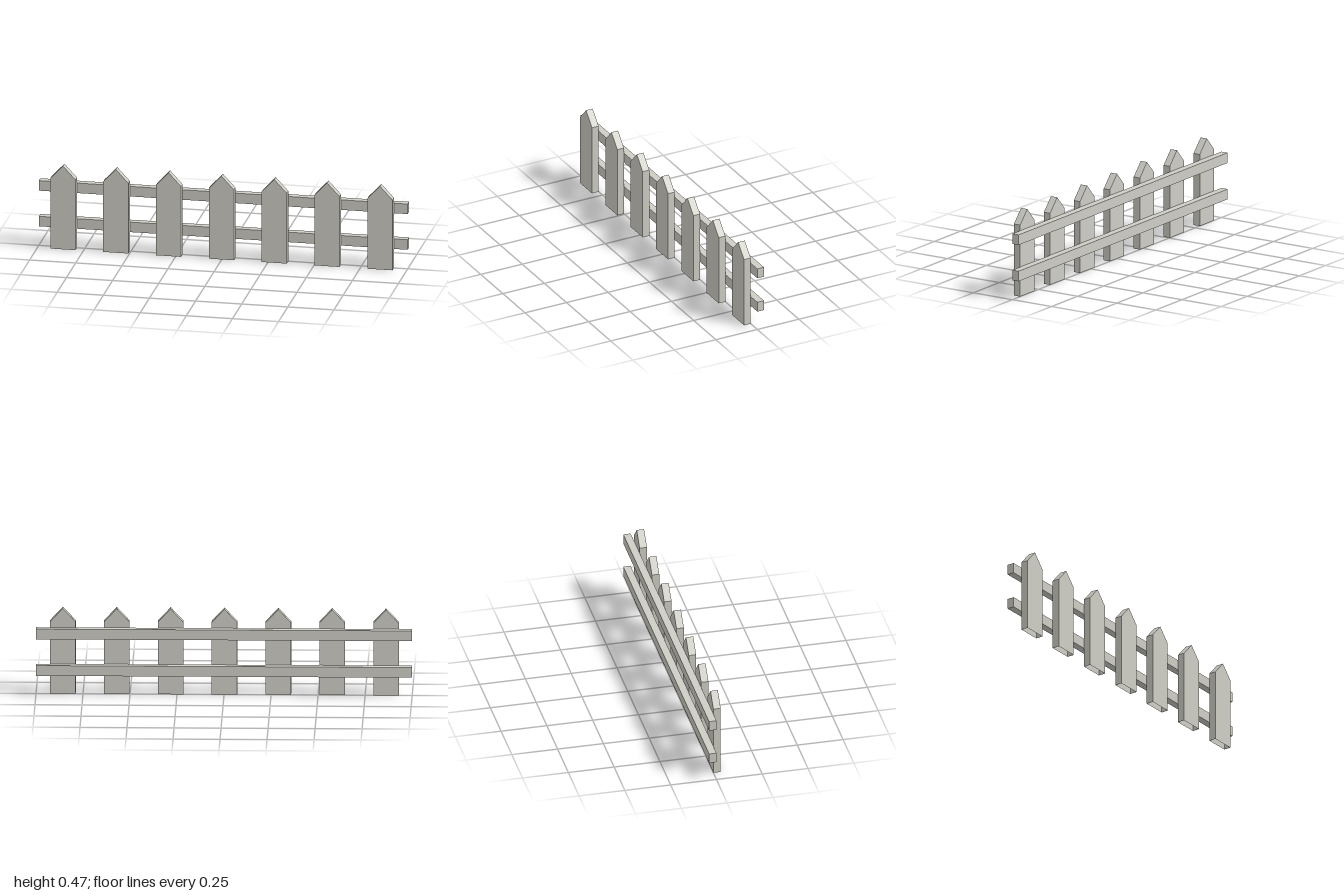
import * as THREE from 'three';

const PICKETS = 7, SPACING = 0.2864, OFFSET = -0.002;
const HALF_WIDTH = 0.068, SHOULDER = 0.394, PEAK = 0.467, DEPTH = 0.04;

// Pointed board, hollow and open underneath
function picketGeometry() {
  const shape = new THREE.Shape([
    [-HALF_WIDTH, 0], [HALF_WIDTH, 0], [HALF_WIDTH, SHOULDER], [0, PEAK], [-HALF_WIDTH, SHOULDER],
  ].map(([x, y]) => new THREE.Vector2(x, y)));
  const solid = new THREE.ExtrudeGeometry(shape, { depth: DEPTH, bevelEnabled: false });
  const p = solid.attributes.position;
  const kept = [];
  for (let i = 0; i < p.count; i += 3) {
    const isFoot = [0, 1, 2].every((k) => Math.abs(p.getY(i + k)) < 1e-6);
    if (!isFoot) kept.push(i, i + 1, i + 2);
  }
  solid.clearGroups();
  solid.setIndex(kept);
  return solid;
}

export function createModel() {
  const fence = new THREE.Group();
  fence.name = 'picketFence';
  const wood = new THREE.MeshStandardMaterial({ color: 0xcfcec6, side: THREE.DoubleSide });
  wood.name = 'pale grey wood';

  // Upright pickets
  const board = picketGeometry();
  for (let i = 0; i < PICKETS; i++) {
    const picket = new THREE.Mesh(board, wood);
    picket.name = `picket${i + 1}`;
    picket.position.x = (i - (PICKETS - 1) / 2) * SPACING + OFFSET;
    fence.add(picket);
  }

  // Horizontal rails behind the pickets
  const bar = new THREE.BoxGeometry(2, 0.056, DEPTH);
  for (const [name, y] of [['lowerRail', 0.135], ['upperRail', 0.335]]) {
    const rail = new THREE.Mesh(bar, wood);
    rail.name = name;
    rail.position.set(0, y, -DEPTH / 2);
    fence.add(rail);
  }
  return fence;
}
